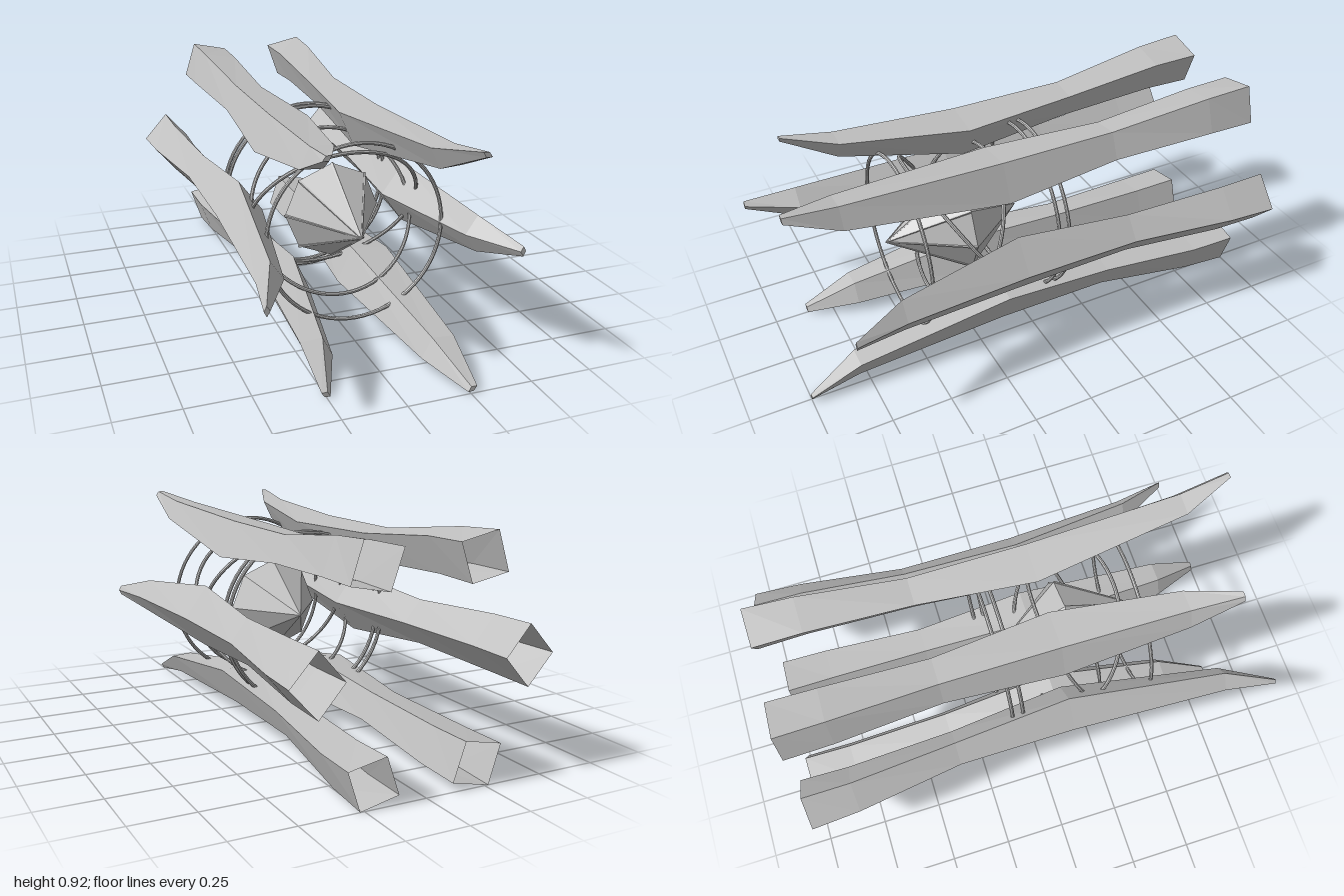
import * as THREE from 'three';

const AXIS_Y = 0.4625;

// Hollow diamond-section arm lying along z, open at the back and capped at the tip.
// Station: [z, inner radius, side-corner radius, outer radius, half width]
function armGeometry(noseShift) {
  const stations = [
    [-1, 0.325, 0.427, 0.533, 0.117],
    [-0.8, 0.33, 0.425, 0.52, 0.113],
    [-0.36, 0.313, 0.388, 0.458, 0.092],
    [0.13, 0.265, 0.36, 0.458, 0.13],
    [0.79 - noseShift, 0.385, 0.435, 0.487, 0.075],
    [1 - noseShift, 0.5, 0.512, 0.522, 0.02],
  ];
  const rings = stations.map(([z, inner, side, outer, w]) => [
    [outer, 0, z], [side, w, z], [inner, 0, z], [side, -w, z],
  ]);
  const pos = [];
  const quad = (a, b, c, d) => pos.push(...a, ...b, ...c, ...a, ...c, ...d);
  for (let s = 0; s < rings.length - 1; s++) {
    for (let i = 0; i < 4; i++) {
      const j = (i + 1) % 4;
      quad(rings[s][i], rings[s][j], rings[s + 1][j], rings[s + 1][i]);
    }
  }
  quad(...rings[rings.length - 1]);
  const g = new THREE.BufferGeometry();
  g.setAttribute('position', new THREE.Float32BufferAttribute(pos, 3));
  g.computeVertexNormals();
  return g;
}

export function createModel() {
  const model = new THREE.Group();
  model.name = 'sixArmedStation';
  const body = new THREE.Group();
  body.name = 'body';
  body.position.y = AXIS_Y;
  model.add(body);

  const hull = new THREE.MeshStandardMaterial({ color: 0xc0c0c0, side: THREE.DoubleSide, flatShading: true });
  hull.name = 'hullGrey';

  function add(geometry, name, parent = body) {
    const mesh = new THREE.Mesh(geometry, hull);
    mesh.name = name;
    parent.add(mesh);
    return mesh;
  }

  // Six arms, alternately short and long
  const shortArm = armGeometry(0.14);
  const longArm = armGeometry(0);
  for (let i = 0; i < 6; i++) {
    const arm = add(i % 2 ? longArm : shortArm, i % 2 ? 'longArm' : 'shortArm');
    arm.rotation.z = i * Math.PI / 3;
  }

  // Eight-sided core: long cone forward, short cone behind
  const core = new THREE.Group();
  core.name = 'core';
  core.position.z = 0.23;
  body.add(core);
  const R = 0.2, FRONT = 0.32, BACK = 0.27;
  add(new THREE.ConeGeometry(R, FRONT, 8, 1, true)
    .translate(0, FRONT / 2, 0).rotateX(Math.PI / 2), 'coreFront', core);
  add(new THREE.ConeGeometry(R, BACK, 8, 1, true)
    .translate(0, BACK / 2, 0).rotateX(-Math.PI / 2), 'coreBack', core);

  // Slim seams along the front ridges of the core
  const tip = new THREE.Vector3(0, 0, FRONT);
  for (let i = 0; i < 8; i++) {
    const a = i * Math.PI / 4;
    const foot = new THREE.Vector3(R * Math.cos(a), R * Math.sin(a), 0);
    const seam = add(new THREE.CylinderGeometry(0.003, 0.006, tip.distanceTo(foot), 4), 'coreSeam', core);
    seam.position.copy(foot).lerp(tip, 0.5);
    seam.quaternion.setFromUnitVectors(new THREE.Vector3(0, 1, 0), tip.clone().sub(foot).normalize());
  }

  // Upright and tilted rings joining the arms: [radius, z, tilt about x]
  const rings = [
    [0.36, 0.495, 0],
    [0.36, -0.06, 0],
    [0.36, -0.105, 0],
    [0.36, 0.235, 0.57],
    [0.34, 0.235, -0.43],
  ];
  for (const [radius, z, tilt] of rings) {
    const ring = add(new THREE.TorusGeometry(radius, 0.008, 8, 64), tilt ? 'tiltedRing' : 'uprightRing');
    ring.position.z = z;
    ring.rotation.x = tilt;
  }

  return model;
}
